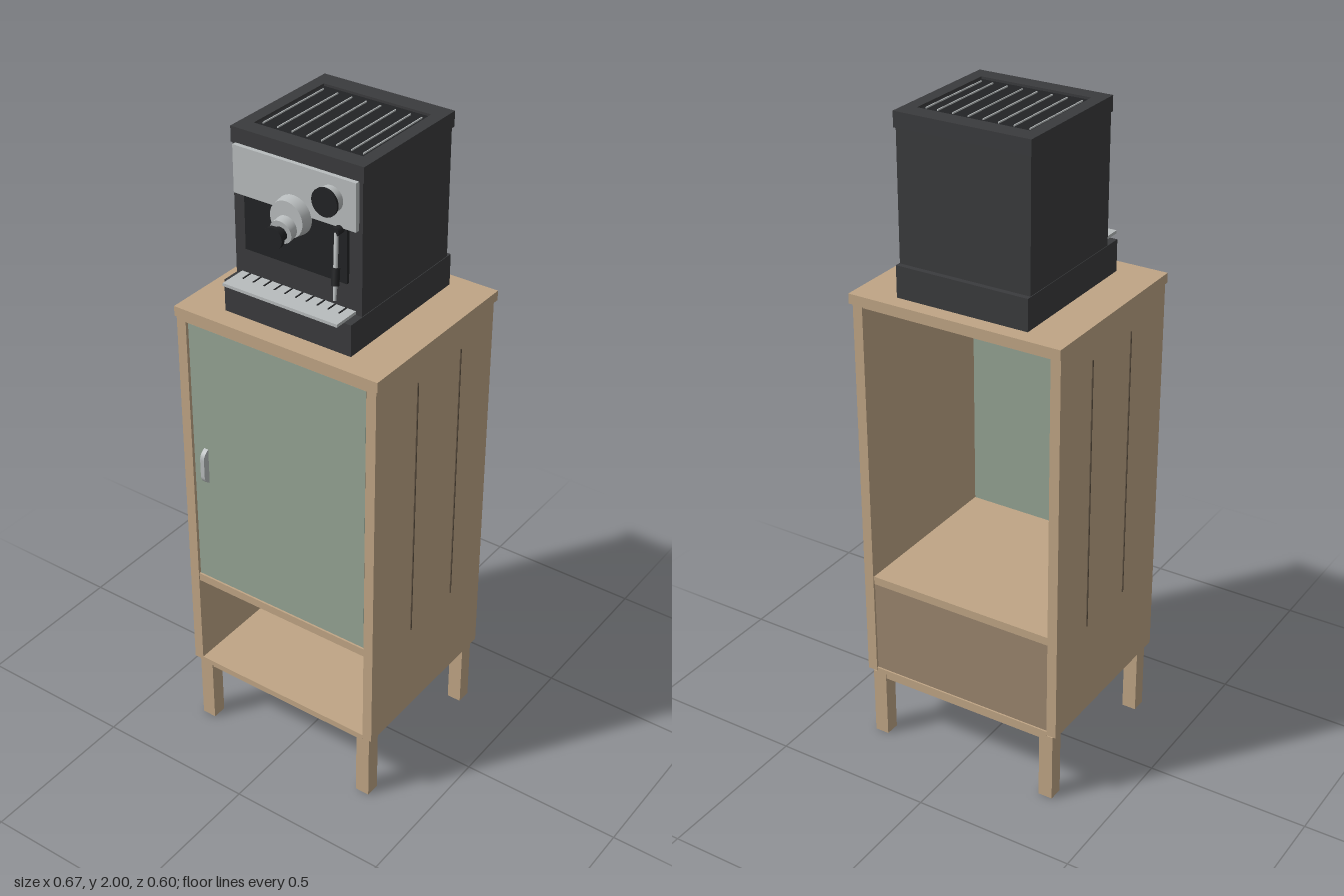
import * as THREE from 'three';

const mat = (color) => new THREE.MeshStandardMaterial({ color });
const wood = mat(0xbfa585), woodDark = mat(0x9a856d), green = mat(0x94a393);
const shell = mat(0x3a3b3d), black = mat(0x222325), silver = mat(0xb8bcbd), groove = mat(0x5f5242);

// Box given by its limits on each axis
function box(parent, name, material, [x0, x1], [y0, y1], [z0, z1]) {
  const mesh = new THREE.Mesh(new THREE.BoxGeometry(x1 - x0, y1 - y0, z1 - z0), material);
  mesh.position.set((x0 + x1) / 2, (y0 + y1) / 2, (z0 + z1) / 2);
  mesh.name = name;
  parent.add(mesh);
  return mesh;
}

// Cylinder running between two points
function rod(parent, name, material, a, b, r0, r1 = r0) {
  const from = new THREE.Vector3(...a), to = new THREE.Vector3(...b);
  const dir = to.clone().sub(from);
  const mesh = new THREE.Mesh(new THREE.CylinderGeometry(r1, r0, dir.length(), 32), material);
  mesh.position.copy(from).add(to).multiplyScalar(0.5);
  mesh.quaternion.setFromUnitVectors(new THREE.Vector3(0, 1, 0), dir.normalize());
  mesh.name = name;
  parent.add(mesh);
  return mesh;
}

function createCabinet() {
  const g = new THREE.Group();
  g.name = 'cabinet';
  box(g, 'worktop', wood, [-0.336, 0.336], [1.447, 1.477], [-0.298, 0.288]);
  box(g, 'bottomPanel', wood, [-0.3, 0.3], [0.225, 0.24], [-0.285, 0.285]);
  box(g, 'plinth', wood, [-0.3, 0.3], [0.205, 0.225], [-0.278, 0.272]);
  box(g, 'shelf', wood, [-0.3, 0.3], [0.54, 0.566], [-0.283, 0.282]);
  box(g, 'nicheBack', woodDark, [-0.3, 0.3], [0.24, 0.54], [-0.28, -0.27]);
  box(g, 'topRail', wood, [-0.3, 0.3], [1.437, 1.447], [-0.285, 0.285]);

  // Sides with two thin upright grooves each, and the legs
  for (const s of [-1, 1]) {
    const span = (a, b) => (s > 0 ? [a, b] : [-b, -a]);
    box(g, 'sidePanel', wood, span(0.3, 0.331), [0.23, 1.447], [-0.287, 0.285]);
    for (const z of [0.09, -0.121])
      box(g, 'sideGroove', groove, span(0.33, 0.334), [0.525, 1.375], [z - 0.002, z + 0.002]);
    for (const z of [0.253, -0.258])
      box(g, 'leg', wood, span(0.272, 0.317), [0, 0.222], [z - 0.023, z + 0.023]);
  }

  // Door and bowed pull handle
  box(g, 'door', green, [-0.296, 0.296], [0.57, 1.433], [0.26, 0.28]);
  const profile = new THREE.Shape();
  profile.moveTo(0.28, 0.92);
  profile.quadraticCurveTo(0.301, 0.93, 0.301, 0.95);
  profile.lineTo(0.301, 1.005);
  profile.quadraticCurveTo(0.301, 1.025, 0.28, 1.035);
  profile.closePath();
  const handle = new THREE.Mesh(new THREE.ExtrudeGeometry(profile, { depth: 0.014, bevelEnabled: false }), silver);
  handle.rotation.y = -Math.PI / 2;
  handle.position.x = -0.245;
  handle.name = 'doorHandle';
  g.add(handle);
  return g;
}

function createCoffeeMachine() {
  const g = new THREE.Group();
  g.name = 'coffeeMachine';
  box(g, 'base', shell, [-0.208, 0.208], [1.477, 1.572], [-0.25, 0.224]);
  box(g, 'body', shell, [-0.206, 0.206], [1.572, 1.957], [-0.234, 0.172]);

  // Lid with a sunken vent grille
  const rim = new THREE.Shape([[-0.21, -0.174], [0.21, -0.174], [0.21, 0.24], [-0.21, 0.24]].map((p) => new THREE.Vector2(...p)));
  rim.holes.push(new THREE.Path([[-0.172, -0.124], [-0.172, 0.184], [0.172, 0.184], [0.172, -0.124]].map((p) => new THREE.Vector2(...p))));
  const lid = new THREE.Mesh(new THREE.ExtrudeGeometry(rim, { depth: 0.045, bevelEnabled: false }), shell);
  lid.rotation.x = -Math.PI / 2;
  lid.position.y = 1.955;
  lid.name = 'lid';
  g.add(lid);
  box(g, 'grille', black, [-0.172, 0.172], [1.957, 1.993], [-0.184, 0.124]);
  for (const x of [-0.158, -0.111, -0.065, -0.018, 0.028, 0.075, 0.122, 0.158])
    box(g, 'grilleSlat', silver, [x - 0.0015, x + 0.0015], [1.99, 1.997], [-0.163, 0.103]);

  // Front plates
  box(g, 'controlPanel', silver, [-0.195, 0.195], [1.82, 1.957], [0.17, 0.187]);
  box(g, 'backSplash', black, [-0.165, 0.165], [1.66, 1.82], [0.17, 0.182]);

  // Drip tray with slots
  box(g, 'dripTray', silver, [-0.187, 0.187], [1.574, 1.583], [0.172, 0.257]);
  for (let i = 0; i < 10; i++) {
    const x = -0.1575 + i * 0.035;
    box(g, 'traySlot', black, [x - 0.002, x + 0.002], [1.58, 1.585], [0.174, 0.207]);
  }

  // Brew head and filter handle
  rod(g, 'brewHead', silver, [0, 1.812, 0.185], [0, 1.812, 0.219], 0.057, 0.052);
  rod(g, 'brewCollar', silver, [0, 1.79, 0.215], [0, 1.786, 0.243], 0.034);
  rod(g, 'filterHandle', black, [0, 1.783, 0.24], [0, 1.783, 0.27], 0.02);
  rod(g, 'filterHandleEnd', black, [0, 1.783, 0.268], [0, 1.783, 0.279], 0.031);

  // Control knob
  rod(g, 'knobBase', silver, [0.12, 1.895, 0.186], [0.12, 1.895, 0.212], 0.036);
  rod(g, 'knob', black, [0.12, 1.895, 0.212], [0.12, 1.895, 0.219], 0.04);

  // Steam wand
  rod(g, 'wandMount', black, [0.145, 1.815, 0.18], [0.145, 1.815, 0.208], 0.012);
  rod(g, 'wandPipe', silver, [0.146, 1.815, 0.202], [0.159, 1.725, 0.224], 0.006);
  rod(g, 'wandGrip', black, [0.159, 1.725, 0.222], [0.165, 1.68, 0.234], 0.011);
  rod(g, 'wandTip', silver, [0.165, 1.68, 0.234], [0.17, 1.642, 0.243], 0.006, 0.004);
  return g;
}

export function createModel() {
  const model = new THREE.Group();
  model.name = 'coffeeStation';
  model.add(createCabinet(), createCoffeeMachine());
  return model;
}
